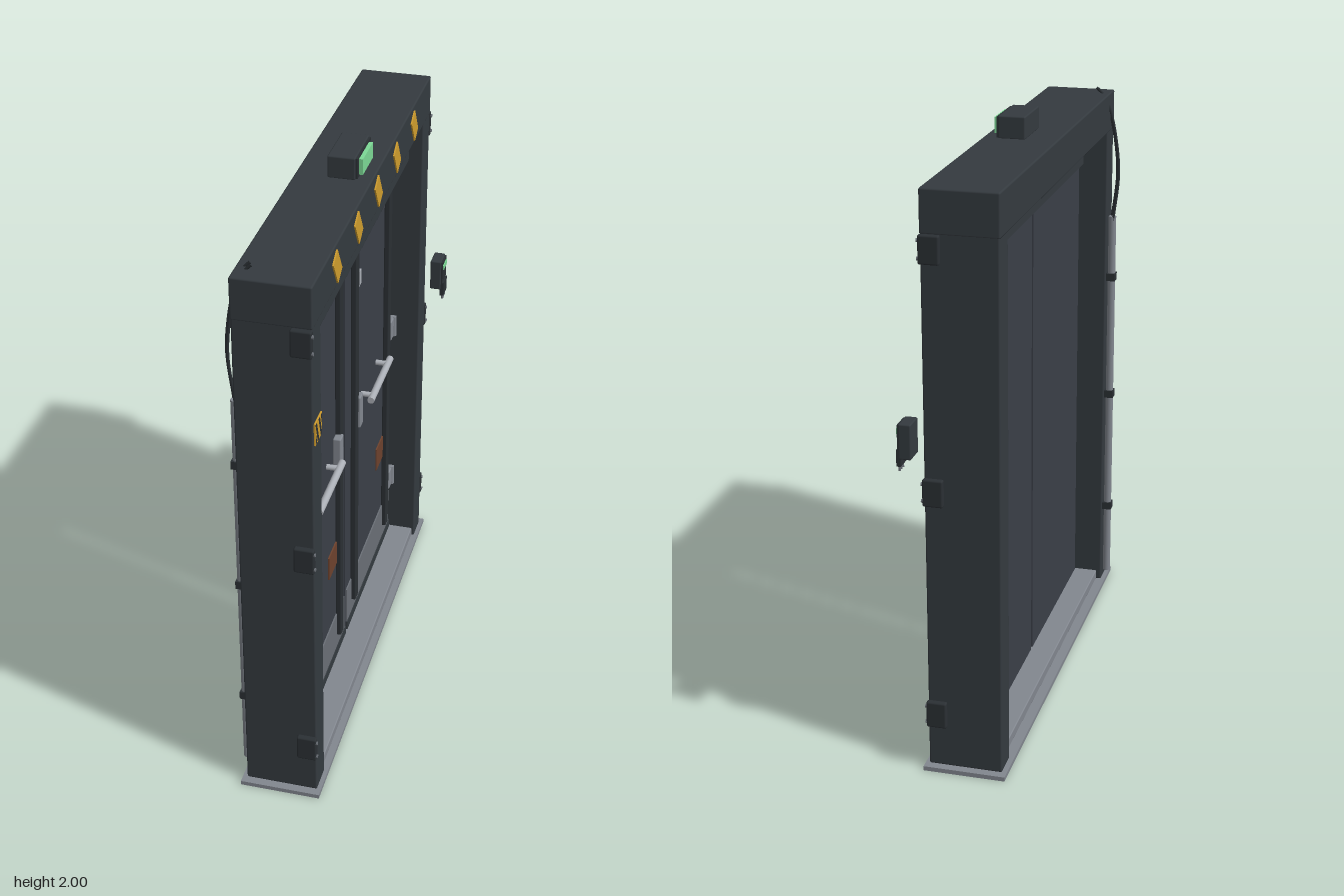
import * as THREE from 'three';
import { RoundedBoxGeometry } from 'three/addons/geometries/RoundedBoxGeometry.js';

const mat = (name, color) => {
  const m = new THREE.MeshStandardMaterial({ color });
  m.name = name;
  return m;
};

export function createModel() {
  const M = {
    frame: mat('dark steel', 0x343a3f),
    leaf: mat('door grey', 0x3a3f48),
    trim: mat('dark trim', 0x2b3034),
    kick: mat('kick plate grey', 0x6a6f76),
    sill: mat('sill grey', 0x82878f),
    bright: mat('bright steel', 0xabafb6),
    yellow: mat('hazard yellow', 0xd09d2e),
    green: mat('signal green', 0x7cd995),
    rust: mat('rust label', 0x6e422d),
  };
  const root = new THREE.Group();
  root.name = 'doubleDoor';

  const add = (parent, name, geo, material) => {
    const mesh = new THREE.Mesh(geo, material);
    mesh.name = name;
    parent.add(mesh);
    return mesh;
  };
  // Box given by its extents; a radius rounds the edges
  const box = (parent, name, material, [x0, x1], [y0, y1], [z0, z1], r = 0) => {
    const s = [x1 - x0, y1 - y0, z1 - z0];
    const geo = r ? new RoundedBoxGeometry(...s, 2, r) : new THREE.BoxGeometry(...s);
    const mesh = add(parent, name, geo, material);
    mesh.position.set((x0 + x1) / 2, (y0 + y1) / 2, (z0 + z1) / 2);
    return mesh;
  };
  // Cylinder along one axis
  const rod = (parent, name, material, r, len, axis, x, y, z) => {
    const mesh = add(parent, name, new THREE.CylinderGeometry(r, r, len, 16), material);
    if (axis === 'x') mesh.rotation.z = Math.PI / 2;
    if (axis === 'z') mesh.rotation.x = Math.PI / 2;
    mesh.position.set(x, y, z);
    return mesh;
  };

  // The doorway is centred on z = C and its face looks along +x
  const C = 0.017;
  const door = new THREE.Group();
  door.name = 'doorway';
  door.position.z = C;
  root.add(door);

  // Sill
  box(door, 'basePlate', M.sill, [-0.153, 0.118], [0, 0.015], [-0.807, 0.807]);
  box(door, 'threshold', M.sill, [-0.12, 0.095], [0.015, 0.05], [-0.712, 0.712], 0.004);

  // Posts, header and door operator
  for (const s of [-1, 1]) {
    const z = s * 0.7345;
    box(door, 'post', M.frame, [-0.138, 0.105], [0.015, 1.8], [z - 0.0475, z + 0.0475], 0.006);
  }
  box(door, 'header', M.frame, [-0.14, 0.107], [1.788, 1.927], [-0.783, 0.783], 0.006);
  box(door, 'operatorCover', M.frame, [0, 0.062], [1.653, 1.78], [-0.66, 0.66], 0.008);
  for (const s of [-1, 1])
    box(door, 'operatorEndCap', M.trim, [0.006, 0.054], [1.685, 1.755],
      [s * 0.667 - 0.009, s * 0.667 + 0.009]);
  box(door, 'backTransom', M.frame, [-0.05, -0.02], [1.67, 1.79], [-0.688, 0.688]);

  // Slanted stripes on the header
  for (let i = -2; i <= 2; i++) {
    const stripe = add(door, 'headerStripe', new THREE.BoxGeometry(0.006, 0.1, 0.056), M.yellow);
    stripe.position.set(0.109, 1.855, i * 0.257);
    stripe.rotation.x = 0.56;
  }

  // Clamps on the outer edges of the posts
  for (const s of [-1, 1]) for (const y of [1.745, 0.973, 0.203]) {
    const z = s * 0.789;
    box(door, 'edgeClamp', M.trim, [0.042, 0.108], [y - 0.045, y + 0.045], [z - 0.011, z + 0.011], 0.006);
    for (const d of [-0.028, 0.028])
      rod(door, 'clampBolt', M.kick, 0.006, 0.006, 'x', 0.109, y + d, z + s * 0.003);
  }

  // Leaves; s = 1 is the +z leaf
  for (const s of [-1, 1]) {
    const leaf = new THREE.Group();
    leaf.name = s > 0 ? 'leafA' : 'leafB';
    door.add(leaf);
    const span = (a, b) => [Math.min(s * a, s * b), Math.max(s * a, s * b)];
    box(leaf, 'panel', M.leaf, [-0.036, -0.002], [0.048, 1.79], span(0.009, 0.679));
    box(leaf, 'kickPlate', M.kick, [-0.002, 0.003], [0.085, 0.23], span(0.018, 0.67));
    box(leaf, 'bottomSeal', M.frame, [-0.002, 0.006], [0.052, 0.085], span(0.012, 0.678));
    for (const z of [0.105, 0.583])
      box(leaf, 'verticalRail', M.trim, [-0.002, 0.018], [0.135, 1.67], span(z - 0.02, z + 0.02), 0.004);
    for (const y of [1.64, 0.97, 0.3]) {
      box(leaf, 'hinge', M.sill, [-0.006, 0.014], [y - 0.04, y + 0.04], span(0.632, 0.69), 0.005);
      rod(leaf, 'hingePin', M.sill, 0.01, 0.08, 'y', 0.012, y, s * 0.679);
    }
    box(leaf, 'lockPlate', M.sill, [-0.002, 0.026], [0.875, 1.0], span(0.115, 0.157), 0.005);

    // Fittings repeat without mirroring
    const o = s > 0 ? 0 : -0.692;
    box(leaf, 'namePlate', M.bright, [-0.002, 0.004], [1.402, 1.455], [0.482 + o, 0.563 + o]);
    box(leaf, 'warningLabel', M.rust, [-0.002, 0.003], [0.46, 0.552], [0.126 + o, 0.228 + o]);
    rod(leaf, 'pushBar', M.bright, 0.0125, 0.295, 'z', 0.042, 0.94, 0.345 + o);
    for (const d of [-0.11, 0.11])
      rod(leaf, 'barBracket', M.bright, 0.01, 0.045, 'x', 0.02, 0.94, 0.345 + o + d);
  }

  // Hazard label on the +z post
  const label = new THREE.Group();
  label.name = 'hazardLabel';
  label.position.set(0.106, 1.428, 0.736);
  label.rotation.y = Math.PI / 2;
  door.add(label);
  add(label, 'labelBack', new THREE.BoxGeometry(0.076, 0.076, 0.008), M.yellow);
  const slash = (...points) => {
    const sh = new THREE.Shape(points.map(([x, y]) => new THREE.Vector2(x, y)));
    add(label, 'labelSlash', new THREE.ShapeGeometry(sh), M.trim).position.z = 0.0046;
  };
  for (const x of [-0.026, 0.008])
    slash([x - 0.012, 0.036], [x + 0.004, 0.036], [x + 0.028, -0.036], [x + 0.012, -0.036]);
  slash([-0.036, 0.01], [-0.036, -0.036], [-0.02, -0.036]);
  slash([0.036, -0.01], [0.036, 0.036], [0.022, 0.036]);

  // Lit sign on top of the header
  box(root, 'signHousing', M.frame, [-0.035, 0.055], [1.925, 2], [-0.08, 0.104], 0.005);
  box(root, 'signBezel', M.trim, [0.05, 0.061], [1.928, 1.996], [-0.073, 0.097]);
  box(root, 'signFace', M.green, [0.055, 0.074], [1.936, 1.989], [-0.051, 0.08]);

  // Access reader beside the -z post
  box(root, 'readerBody', M.frame, [0.126, 0.166], [1.095, 1.21], [-0.825, -0.75], 0.005);
  box(root, 'readerFace', M.trim, [0.166, 0.171], [1.1, 1.205], [-0.82, -0.755]);
  box(root, 'readerScreen', M.green, [0.171, 0.175], [1.174, 1.192], [-0.815, -0.76]);
  box(root, 'readerSlot', M.trim, [0.162, 0.176], [1.068, 1.122], [-0.816, -0.758]);
  for (const z of [-0.803, -0.787, -0.771])
    rod(root, 'readerPin', M.kick, 0.004, 0.02, 'y', 0.17, 1.06, z);

  // Conduit, clips and cables on the rear of the +z post
  rod(root, 'conduit', M.sill, 0.014, 1.425, 'y', -0.155, 0.7625, 0.73);
  for (const y of [1.245, 0.785, 0.325])
    box(root, 'conduitClip', M.trim, [-0.171, -0.135], [y - 0.014, y + 0.014], [0.712, 0.748]);
  for (const d of [-0.008, 0.008]) {
    const path = new THREE.CatmullRomCurve3([
      [-0.155, 1.46], [-0.173, 1.655], [-0.141, 1.86], [-0.115, 1.918], [-0.092, 1.943],
    ].map(([x, y]) => new THREE.Vector3(x + d * 0.5, y, 0.73 + d)));
    add(root, 'cable', new THREE.TubeGeometry(path, 32, 0.005, 8), M.trim);
  }
  return root;
}
